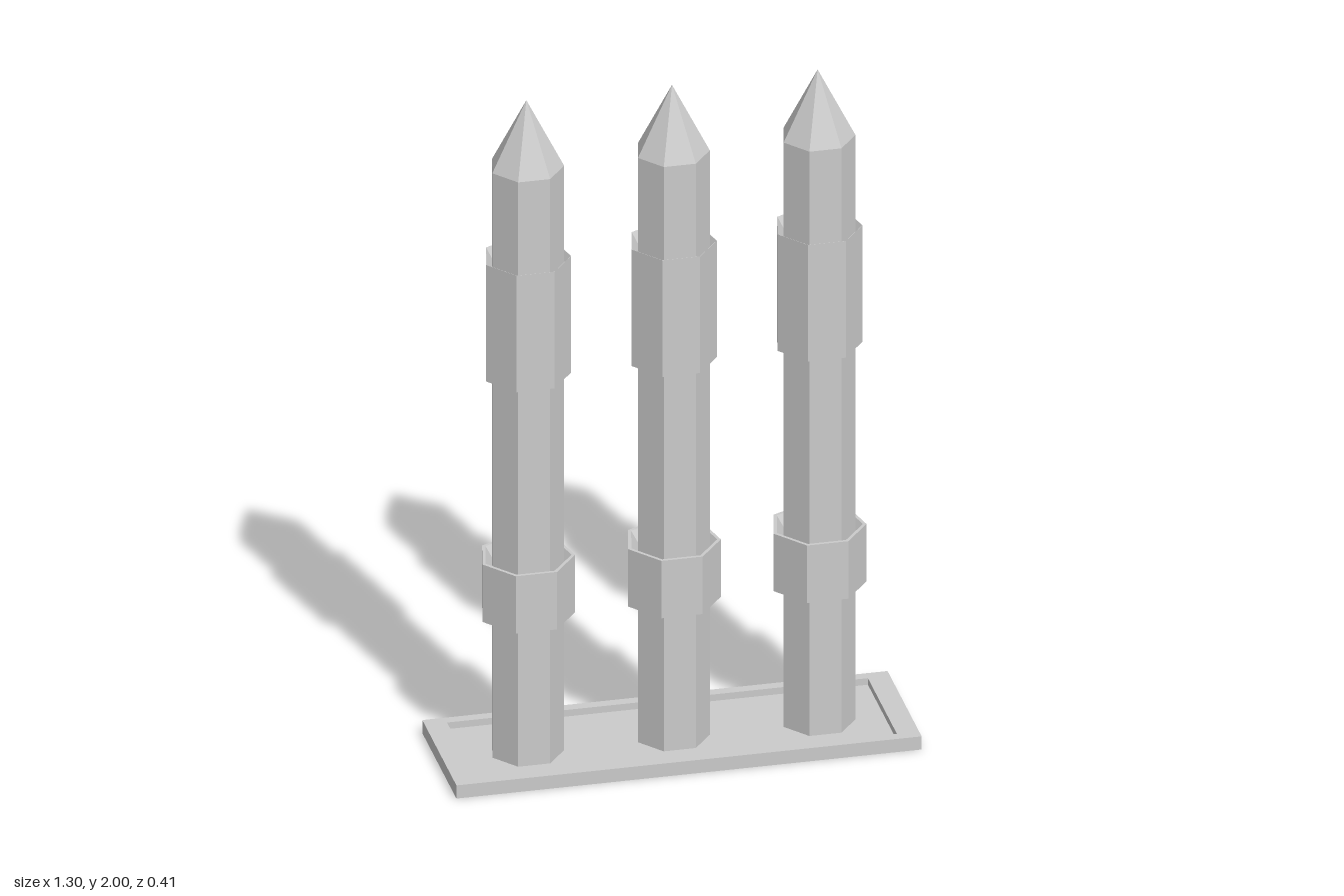
import * as THREE from 'three';

const SIDES = 7;
const material = new THREE.MeshStandardMaterial({ color: 0xcccccc, flatShading: true });

// Seven-sided turned part with one corner pointing to the back
function turned(name, profile) {
  const points = profile.map(([r, y]) => new THREE.Vector2(r, y));
  const mesh = new THREE.Mesh(new THREE.LatheGeometry(points, SIDES, Math.PI), material);
  mesh.name = name;
  return mesh;
}

// Sleeve whose top and bottom sink inwards towards the post
function collar(name, r, rim, bottom, top) {
  const inner = 0.1, dip = 0.035;
  return turned(name, [
    [inner, bottom + dip], [r - rim, bottom], [r, bottom],
    [r, top], [r - rim, top], [inner, top - dip],
  ]);
}

function createPost(x) {
  const post = new THREE.Group();
  post.name = 'post';
  post.add(
    turned('shaft', [[0, 0.015], [0.103, 0.015], [0.103, 1.8]]),
    turned('pointedTip', [[0.103, 1.8], [0, 2]]),
    collar('lowerCollar', 0.133, 0.01, 0.44, 0.615),
    collar('upperCollar', 0.122, 0.001, 1.17, 1.525),
  );
  post.position.x = x;
  return post;
}

function rectangle(path, w, d) {
  path.moveTo(-w, -d);
  path.lineTo(w, -d);
  path.lineTo(w, d);
  path.lineTo(-w, d);
  path.closePath();
  return path;
}

// Shallow tray: a raised border around a sunken floor
function createBase() {
  const base = new THREE.Group();
  base.name = 'base';
  const shape = rectangle(new THREE.Shape(), 0.65, 0.203);
  shape.holes.push(rectangle(new THREE.Path(), 0.588, 0.173));
  const borderGeometry = new THREE.ExtrudeGeometry(shape, { depth: 0.04, bevelEnabled: false });
  borderGeometry.rotateX(-Math.PI / 2);
  const border = new THREE.Mesh(borderGeometry, material);
  border.name = 'baseBorder';
  const floor = new THREE.Mesh(new THREE.BoxGeometry(1.176, 0.02, 0.346), material);
  floor.name = 'baseFloor';
  floor.position.y = 0.01;
  base.add(border, floor);
  return base;
}

export function createModel() {
  const model = new THREE.Group();
  model.name = 'postsOnBase';
  model.add(createBase());
  for (const x of [-0.407, 0, 0.407]) model.add(createPost(x));
  return model;
}
